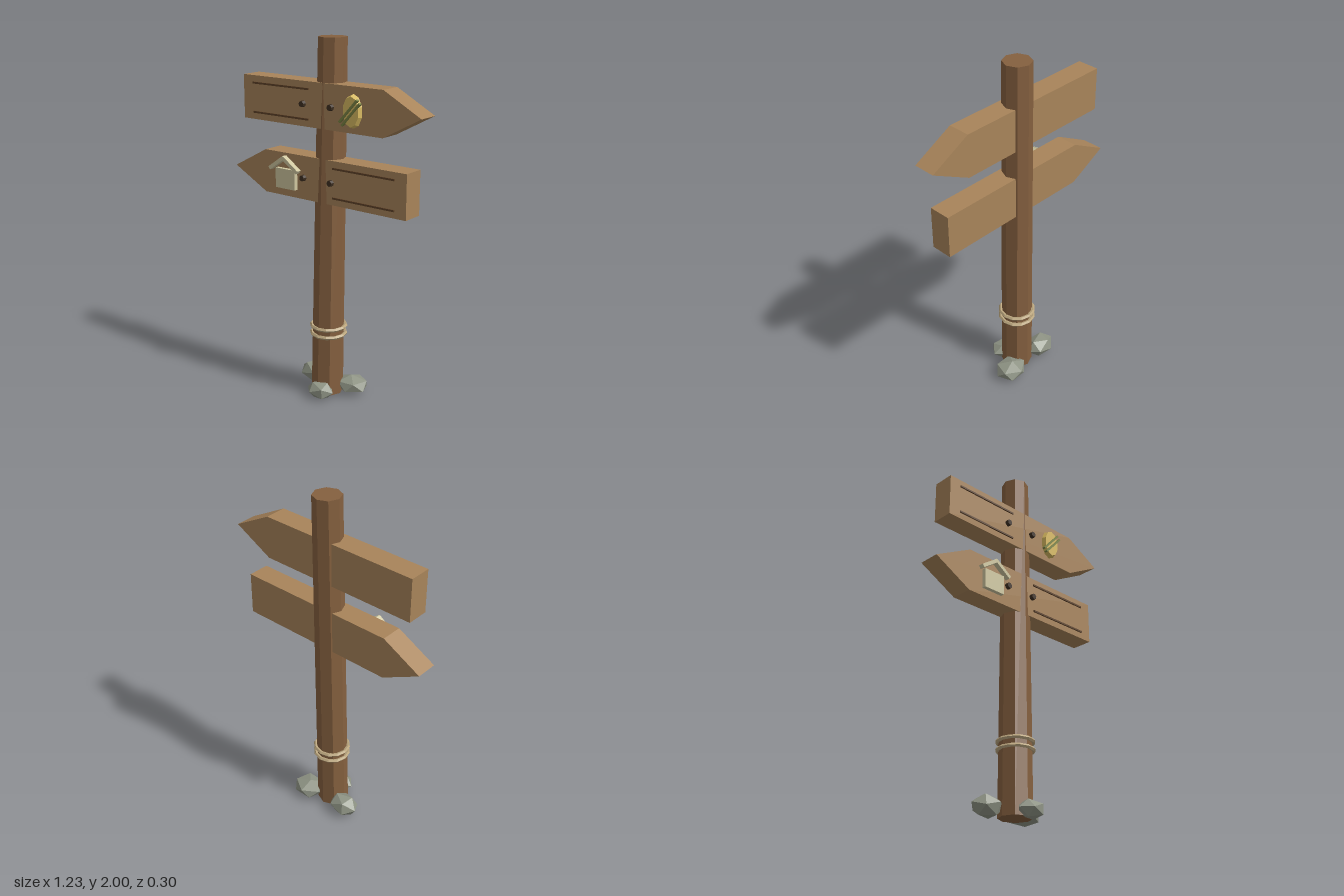
import * as THREE from 'three';

const mat = (color) => new THREE.MeshStandardMaterial({ color, flatShading: true });
const WOOD = mat(0x85603f), BOARD = mat(0xa8845a), DARK = mat(0x5f4329), NAIL = mat(0x3f3022);
const ROPE = mat(0xbda880), STONE = mat(0x8f9485), CREAM = mat(0xcfc7a0);
const YELLOW = mat(0xd9bb62), GREEN = mat(0x7d8645);

export function createModel() {
  const root = new THREE.Group();
  const add = (name, geo, material, x, y, z, parent = root) => {
    const m = new THREE.Mesh(geo, material);
    m.name = name;
    m.position.set(x, y, z);
    parent.add(m);
    return m;
  };

  // Tapered eight-sided post with a slight lean
  const post = new THREE.CylinderGeometry(0.077, 0.09, 1.99, 8);
  const p = post.attributes.position;
  for (let i = 0; i < p.count; i++) {
    const t = p.getY(i) / 1.99 + 0.5;
    p.setX(i, p.getX(i) - 0.003 + 0.019 * t);
    p.setZ(i, p.getZ(i) - 0.022 * t);
  }
  add('post', post, WOOD, 0, 1.005, 0);

  // Arrow boards: dir is the side the point faces
  const arrowBoard = (name, y, dir) => {
    const g = new THREE.Group();
    g.name = name;
    g.position.y = y;
    root.add(g);
    const pts = [[-0.54, -0.12], [0.39, -0.12], [0.615, 0], [0.39, 0.12], [-0.54, 0.12]];
    const shape = new THREE.Shape(pts.map(([x, h]) => new THREE.Vector2(x * dir, h)));
    add('board', new THREE.ExtrudeGeometry(shape, { depth: 0.122, bevelEnabled: false }), BOARD, 0, 0, -0.064, g);
    // Carved grain lines
    for (const s of [-1, 1]) {
      add('grainLine', new THREE.BoxGeometry(0.39, 0.01, 0.01), DARK, -0.275 * dir, s * 0.08, 0.06, g);
    }
    // Nails
    for (const x of [-0.118, 0.068]) {
      const nail = add('nail', new THREE.CylinderGeometry(0.016, 0.019, 0.024, 7), NAIL, x, 0, 0.066, g);
      nail.rotation.x = Math.PI / 2;
    }
    return g;
  };
  const upper = arrowBoard('upperSign', 1.65, 1);
  const lower = arrowBoard('lowerSign', 1.25, -1);

  // Oval emblem with a diagonal band
  const oval = add('ovalEmblem', new THREE.CylinderGeometry(0.05, 0.056, 0.026, 10), YELLOW, 0.21, -0.005, 0.071, upper);
  oval.rotation.x = Math.PI / 2;
  oval.scale.z = 1.58;
  for (const s of [-1, 1]) {
    const band = add('emblemBand', new THREE.BoxGeometry(0.165, 0.011, 0.018), GREEN,
      0.207 - s * 0.008, -0.01 + s * 0.008, 0.085, upper);
    band.rotation.z = 0.83;
  }

  // House emblem: flat wall and two roof slats
  add('houseWall', new THREE.BoxGeometry(0.135, 0.11, 0.024), CREAM, -0.232, -0.02, 0.069, lower);
  for (const s of [-1, 1]) {
    const roof = add('houseRoof', new THREE.BoxGeometry(0.122, 0.02, 0.03), CREAM, -0.233 + s * 0.047, 0.066, 0.084, lower);
    roof.rotation.z = -s * 0.61;
  }

  // Rope rings around the post
  for (const y of [0.365, 0.41]) {
    const ring = add('ropeRing', new THREE.TorusGeometry(0.095, 0.011, 5, 12), ROPE, 0.002, y, -0.005);
    ring.rotation.x = Math.PI / 2;
  }

  // Base stones, faceted and flattened: centre, half sizes, turn
  const stones = [
    [[-0.14, 0.06, -0.06], [0.093, 0.052, 0.065], 0.4],
    [[0.122, 0.054, -0.072], [0.09, 0.051, 0.081], 1.3],
    [[0.017, 0.045, 0.09], [0.085, 0.045, 0.06], 2.2],
  ];
  for (const [pos, size, turn] of stones) {
    const geo = new THREE.IcosahedronGeometry(1, 0);
    geo.rotateX(turn * 0.7).rotateY(turn);
    // Fit the turned stone exactly to its half sizes
    geo.computeBoundingBox();
    const b = geo.boundingBox.max;
    geo.scale(size[0] / b.x, size[1] / b.y, size[2] / b.z);
    add('baseStone', geo, STONE, ...pos);
  }
  return root;
}
